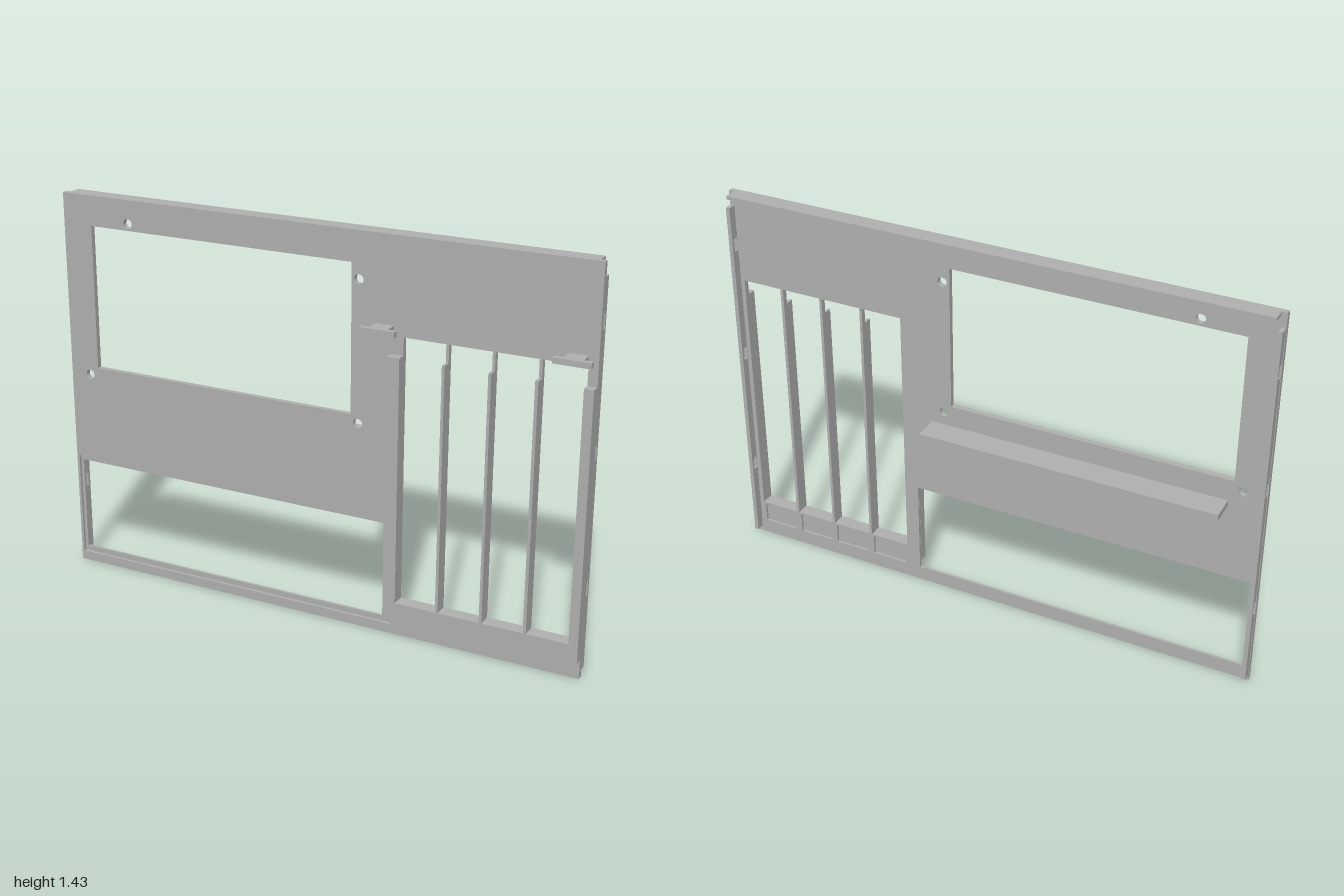
import * as THREE from 'three';

const rectPoints = (x0, x1, y0, y1) => [[x0, y0], [x1, y0], [x1, y1], [x0, y1]].map(p => new THREE.Vector2(...p));
const rectShape = (...r) => new THREE.Shape(rectPoints(...r));
const rectHole = (...r) => new THREE.Path(rectPoints(...r));
const roundHole = (x, y, r) => new THREE.Path().absarc(x, y, r, 0, Math.PI * 2, true);

export function createModel() {
  const group = new THREE.Group();
  const metal = new THREE.MeshStandardMaterial({ color: 0xb0b0b0 });
  metal.name = 'grey metal';

  const add = (name, geometry) => {
    const mesh = new THREE.Mesh(geometry, metal);
    mesh.name = name;
    group.add(mesh);
    return mesh;
  };
  const box = (name, x0, x1, y0, y1, z0, z1) => {
    const mesh = add(name, new THREE.BoxGeometry(x1 - x0, y1 - y0, z1 - z0));
    mesh.position.set((x0 + x1) / 2, (y0 + y1) / 2, (z0 + z1) / 2);
    return mesh;
  };
  const slab = (name, shape, z0, z1) => {
    const mesh = add(name, new THREE.ExtrudeGeometry(shape, { depth: z1 - z0, bevelEnabled: false, curveSegments: 20 }));
    mesh.position.z = z0;
    return mesh;
  };

  const BACK = 0.006, STEP = 0.015, FRONT = 0.025, GUIDE = 0.057;
  const bays = [[0.337, 0.488], [0.498, 0.649], [0.659, 0.807], [0.818, 0.967]];
  const screwHoles = [[-0.73, 1.345], [0.172, 1.265], [-0.92, 0.76], [0.172, 0.76]];

  // Main panel in two layers: the lower opening is rebated at the front,
  // and shallow pockets sit under the bays at the back
  const panelLayer = (opening, pockets) => {
    const shape = rectShape(-1, 1, 0, 1.43);
    shape.holes.push(rectHole(-0.885, 0.145, 0.79, 1.32), rectHole(...opening));
    for (const [x, y] of screwHoles) shape.holes.push(roundHole(x, y, 0.017));
    for (const [x0, x1] of bays) {
      shape.holes.push(rectHole(x0, x1, 0.138, 1.09));
      if (pockets) shape.holes.push(rectHole(x0 + 0.008, x1 - 0.008, 0.055, 0.13));
    }
    return shape;
  };
  slab('panelBack', panelLayer([-0.978, 0.285, 0.055, 0.41], true), BACK, STEP);
  slab('panelFront', panelLayer([-0.99, 0.305, 0.035, 0.43], false), STEP, FRONT);

  // Raised guide rack: a comb open at the top
  const comb = new THREE.Shape().moveTo(0.29, 0.07).lineTo(1, 0.07).lineTo(1, 1.027);
  for (const [x0, x1] of [...bays].reverse()) {
    comb.lineTo(x1, 1.027).lineTo(x1, 0.138).lineTo(x0, 0.138).lineTo(x0, 1.027);
  }
  comb.lineTo(0.29, 1.027);
  slab('guideRack', comb, FRONT, GUIDE);

  // Side flanges with three slots each
  const flange = rectShape(-BACK, 0.024, 0.022, 1.377);
  for (const y of [0.32, 0.795, 1.232]) flange.holes.push(rectHole(-0.005, 0.014, y - 0.024, y + 0.024));
  for (const x of [-0.998, 0.983]) {
    const mesh = slab('sideFlange', flange, 0, 0.015);
    mesh.rotation.y = Math.PI / 2;
    mesh.position.set(x, 0, 0);
  }

  // Top lip and rear shelf
  box('topLip', -0.98, 0.98, 1.418, 1.43, -0.04, BACK);
  box('rearShelf', -0.87, 0.22, 0.688, 0.711, -0.09, BACK);

  // T-shaped brackets above the rack
  for (const x of [0.268, 0.934]) {
    box('bracketStem', x - 0.033, x + 0.033, 1.105, 1.125, FRONT, 0.07);
    box('bracketHead', x - 0.064, x + 0.064, 1.105, 1.125, 0.07, 0.09);
  }
  return group;
}
